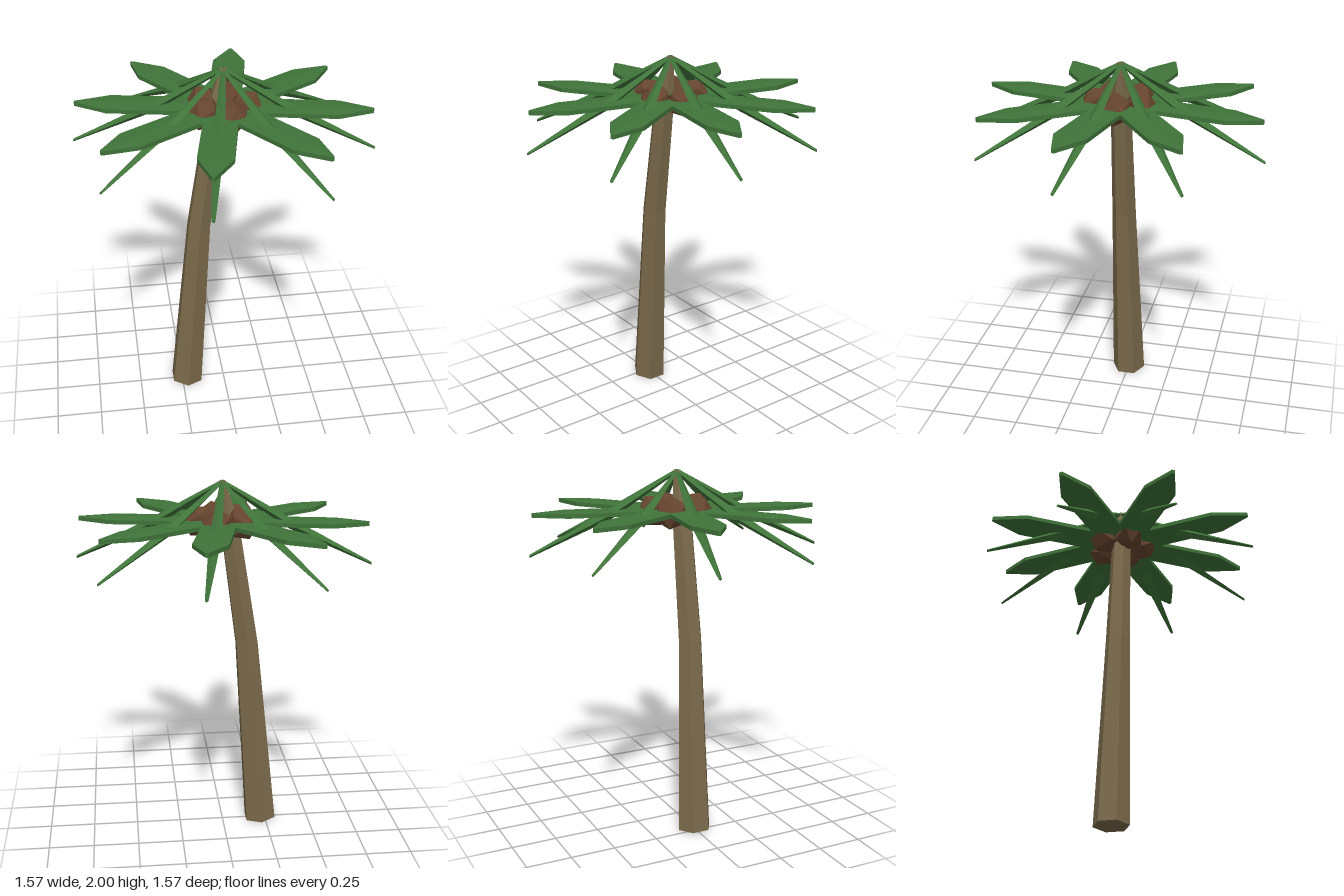
import * as THREE from 'three';

// Faceted solid through matching rings of points (each ring counter-clockwise
// when looking back along the direction of travel), with both ends capped.
function loft(rings) {
  const pos = [];
  const tri = (a, b, c) => pos.push(...a.toArray(), ...b.toArray(), ...c.toArray());
  const n = rings[0].length;
  for (let i = 0; i < rings.length - 1; i++) {
    const a = rings[i], b = rings[i + 1];
    for (let j = 0; j < n; j++) {
      const k = (j + 1) % n;
      tri(a[j], a[k], b[k]);
      tri(a[j], b[k], b[j]);
    }
  }
  const first = rings[0], last = rings[rings.length - 1];
  for (let j = 1; j < n - 1; j++) {
    tri(first[0], first[j + 1], first[j]);
    tri(last[0], last[j], last[j + 1]);
  }
  const g = new THREE.BufferGeometry();
  g.setAttribute('position', new THREE.Float32BufferAttribute(pos, 3));
  g.computeVertexNormals();
  return g;
}

// Six-sided trunk ring with corners on the z axis, tilted in the x-y plane
function trunkRing([x, y, z, radius, tilt]) {
  return Array.from({ length: 6 }, (_, i) => {
    const a = (i / 6) * Math.PI * 2;
    return new THREE.Vector3(Math.sin(a) * radius, 0, Math.cos(a) * radius)
      .applyAxisAngle(new THREE.Vector3(0, 0, 1), tilt)
      .add(new THREE.Vector3(x, y, z));
  });
}

// Broad leaf cross-section: flat slab with a faint ridge above and below
function leafRing([r, half]) {
  const y = 1.781, t = 0.011, ridge = t + half * 0.07;
  return [[half, -t], [half, t], [0, ridge], [-half, t], [-half, -t], [0, -ridge]]
    .map(([z, h]) => new THREE.Vector3(r, y + h, -z));
}

// Drooping frond cross-section: a diamond hanging from the top ridge
function frondRing([r, ridgeY, half, depth]) {
  return [[half, -depth], [0, 0], [-half, -depth], [0, -2 * depth]]
    .map(([z, h]) => new THREE.Vector3(r, ridgeY + h, -z));
}

export function createModel() {
  const model = new THREE.Group();
  model.name = 'palmTree';

  const material = (name, color) => {
    const m = new THREE.MeshStandardMaterial({ color });
    m.name = name;
    return m;
  };
  const bark = material('bark', 0x7a6a4b);
  const green = material('leafGreen', 0x40743a);
  const brown = material('coconutBrown', 0x66452f);

  const add = (name, geometry, mat, parent = model) => {
    const mesh = new THREE.Mesh(geometry, mat);
    mesh.name = name;
    parent.add(mesh);
    return mesh;
  };

  // Bent trunk, narrowing to a small tip where the fronds meet
  add('trunk', loft([
    [-0.222, 0.008, 0, 0.096, -0.08],
    [-0.137, 1.09, 0.013, 0.068, -0.06],
    [-0.042, 1.75, 0.01, 0.056, -0.14],
    [0, 1.995, 0, 0.02, 0],
  ].map(trunkRing)), bark);

  // Crown: eight level leaves, each with a drooping frond on the same bearing
  const leafShape = loft([[0, 0.09], [0.6, 0.09], [0.78, 0.008]].map(leafRing));
  const frondShape = loft([
    [0.005, 2.0, 0.011, 0.012],
    [0.36, 1.805, 0.033, 0.03],
    [0.8, 1.575, 0.009, 0.008],
  ].map(frondRing));
  const crown = new THREE.Group();
  crown.name = 'crown';
  model.add(crown);
  for (let i = 0; i < 8; i++) {
    const turn = -(0.197 + (i * Math.PI) / 4);
    add('leaf', leafShape, green, crown).rotation.y = turn;
    add('droopingFrond', frondShape, green, crown).rotation.y = turn;
  }

  // Ring of five faceted coconuts
  const nut = new THREE.IcosahedronGeometry(0.092, 0);
  const nuts = new THREE.Group();
  nuts.name = 'coconuts';
  model.add(nuts);
  for (let i = 0; i < 5; i++) {
    const a = 0.05 + (i * Math.PI * 2) / 5;
    const mesh = add('coconut', nut, brown, nuts);
    mesh.position.set(Math.cos(a) * 0.123, 1.78, Math.sin(a) * 0.123);
    mesh.rotation.y = -a;
  }
  return model;
}
